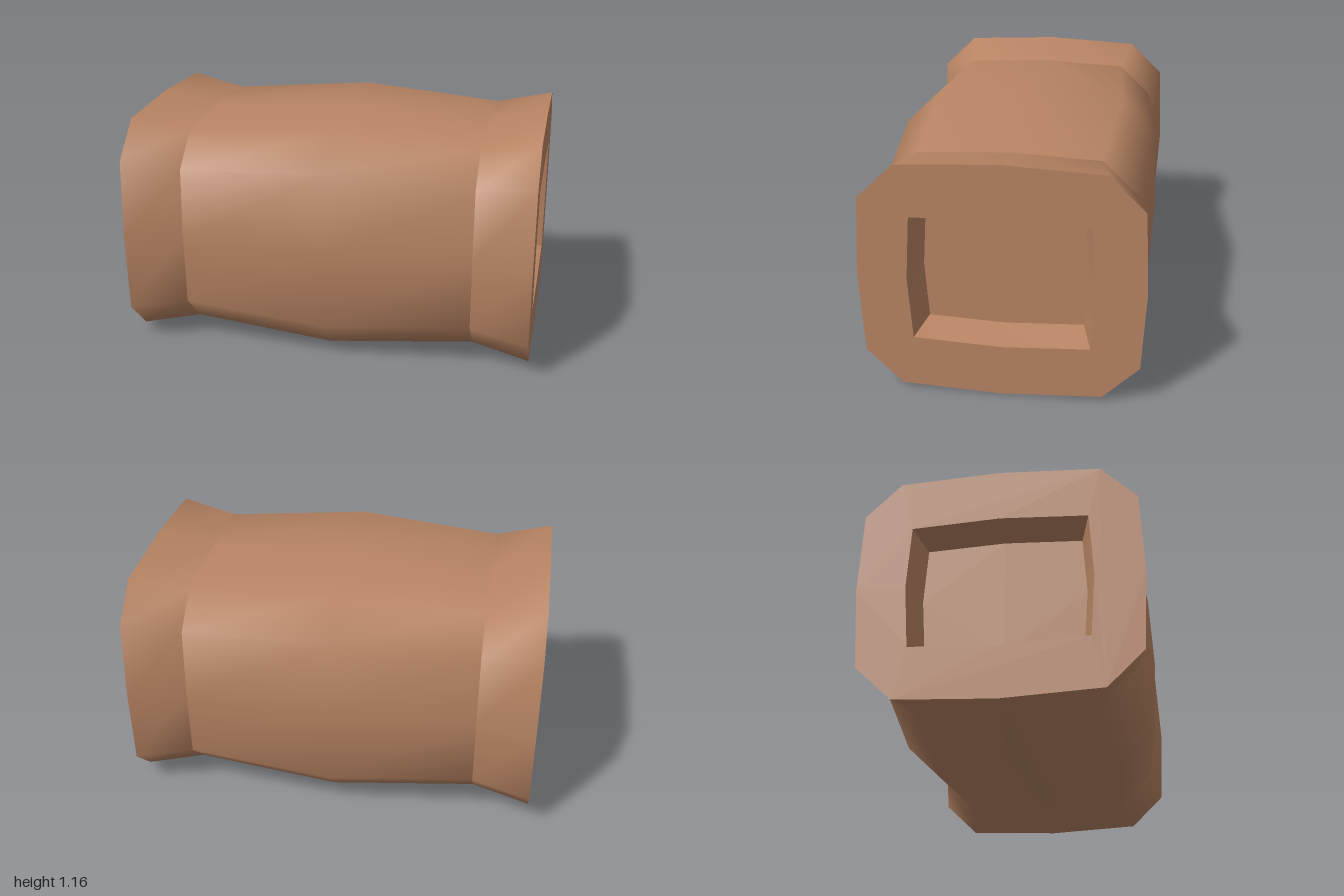
import * as THREE from 'three';
import { toCreasedNormals } from 'three/addons/utils/BufferGeometryUtils.js';

const CENTER_Y = 0.585;
const material = new THREE.MeshStandardMaterial({ color: 0xb88463 });

// Quarter outlines in (z, y), from the side middle to the top middle
const WIDE = [[0.66, 0], [0.64, 0.39], [0.47, 0.557], [0, 0.58]];
const WAIST = [[0.6, 0], [0.585, 0.35], [0.425, 0.505], [0, 0.525]];
const MOUTH = [[0.43, 0], [0.41, 0.306], [0, 0.327]];
const FLOOR = [[0.385, 0], [0.367, 0.273], [0, 0.29]];

// Mirror a quarter outline into a closed counter-clockwise loop
function mirrorLoop(quarter) {
  const half = [...quarter, ...quarter.slice(0, -1).reverse().map(([z, y]) => [-z, y])];
  return [...half, ...half.slice(1, -1).reverse().map(([z, y]) => [z, -y])];
}

// Skin a list of [x, quarter] sections; rising x faces outwards, falling x inwards
function loft(sections) {
  const rings = sections.map(([x, quarter]) => mirrorLoop(quarter).map(([z, y]) => [x, y, z]));
  const n = rings[0].length;
  const index = [];
  for (let i = 0; i < rings.length - 1; i++) {
    for (let j = 0; j < n; j++) {
      const k = (j + 1) % n;
      const a = i * n + j, b = a + n, c = (i + 1) * n + k, d = i * n + k;
      index.push(a, b, c, a, c, d);
    }
  }
  const geometry = new THREE.BufferGeometry();
  geometry.setAttribute('position', new THREE.Float32BufferAttribute(rings.flat(2), 3));
  geometry.setIndex(index);
  geometry.computeVertexNormals();
  return geometry;
}

// Flat face looking along +x, with an optional opening
function face(x, outer, hole) {
  const points = (quarter) => mirrorLoop(quarter).map(([z, y]) => new THREE.Vector2(z, y));
  const shape = new THREE.Shape(points(outer));
  if (hole) shape.holes.push(new THREE.Path(points(hole)));
  return new THREE.ShapeGeometry(shape).rotateY(Math.PI / 2).translate(x, 0, 0);
}

function part(name, geometry) {
  const mesh = new THREE.Mesh(geometry, material);
  mesh.name = name;
  return mesh;
}

// Flared collar, rim and shallow socket of the +x end
function createEnd(name) {
  const end = new THREE.Group();
  end.name = name;
  end.add(
    part('collar', loft([[0.715, WAIST], [1, WIDE]])),
    part('rim', face(1, WIDE, MOUTH)),
    part('socketWalls', toCreasedNormals(loft([[1, MOUTH], [0.84, FLOOR]]), 0.6)),
    part('socketFloor', face(0.84, FLOOR))
  );
  return end;
}

export function createModel() {
  const model = new THREE.Group();
  model.name = 'barrelBlock';
  model.add(part('body', loft([[-0.715, WAIST], [0, WIDE], [0.715, WAIST]])));
  const left = createEnd('leftEnd');
  const right = createEnd('rightEnd');
  right.rotation.y = Math.PI;
  model.add(left, right);
  model.position.y = CENTER_Y;

  // Keep the returned root at the origin
  const root = new THREE.Group();
  root.name = 'model';
  root.add(model);
  return root;
}
